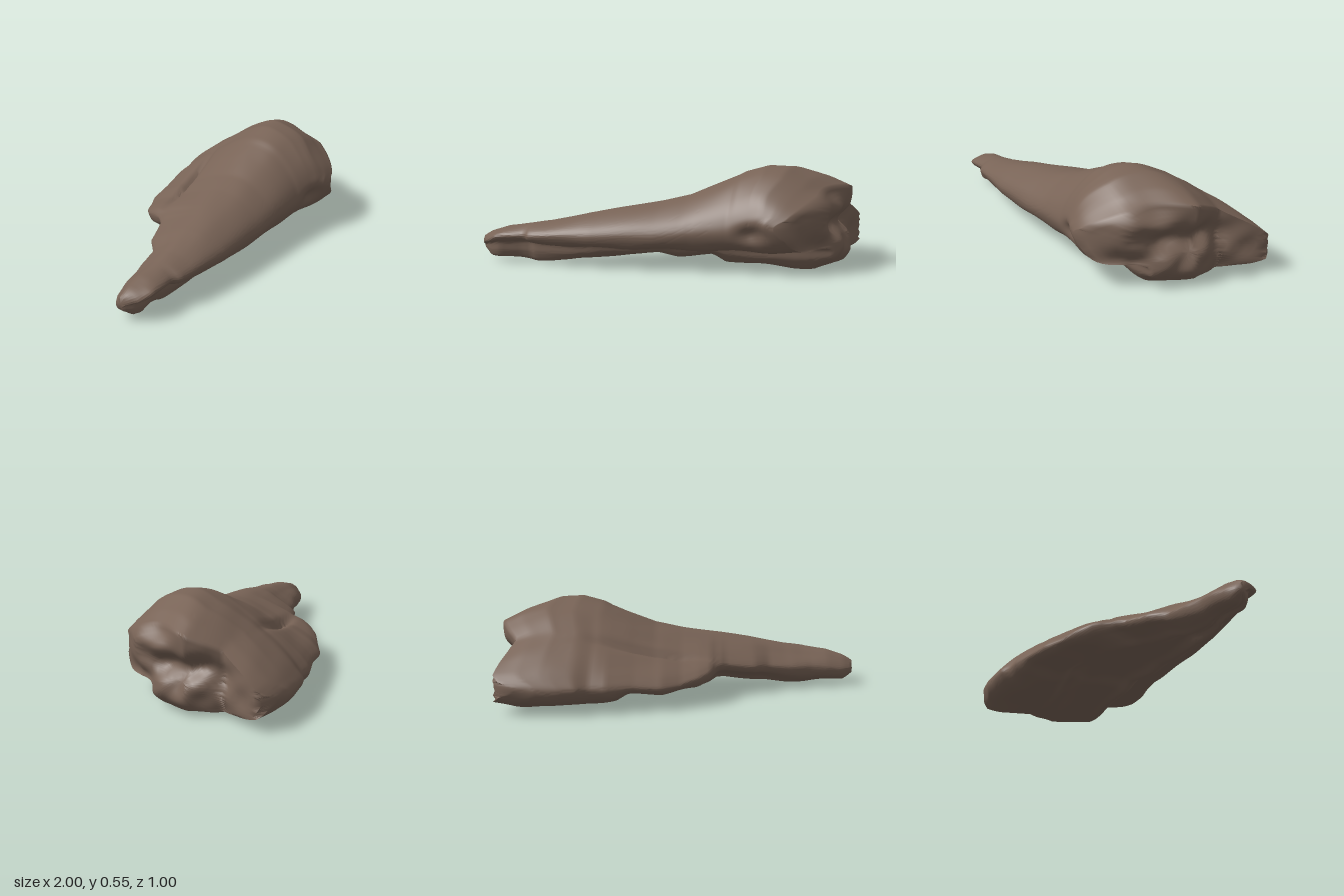
import * as THREE from 'three';
import { toCreasedNormals } from 'three/addons/utils/BufferGeometryUtils.js';

// Piecewise-linear curve through [position, value] pairs
const curve = (pairs) => (t) => {
  if (t <= pairs[0][0]) return pairs[0][1];
  for (let i = 1; i < pairs.length; i++) {
    const [a, va] = pairs[i - 1], [b, vb] = pairs[i];
    if (t <= b) return va + (vb - va) * (t - a) / (b - a);
  }
  return pairs[pairs.length - 1][1];
};
const { lerp: mix, smoothstep } = THREE.MathUtils;
const bump = (t, centre, width) => Math.exp(-(((t - centre) / width) ** 2));

// Outline of the skull along its length (x)
const backEdge = curve([[-1, 0.30], [-0.95, 0.265], [-0.85, 0.23], [-0.75, 0.21], [-0.65, 0.17], [-0.5, 0.13],
  [-0.42, 0.05], [-0.25, -0.02], [-0.2, -0.08], [-0.16, -0.18], [-0.1, -0.24], [0, -0.3], [0.1, -0.36],
  [0.25, -0.39], [0.4, -0.44], [0.5, -0.445], [0.57, -0.48], [0.7, -0.495], [0.87, -0.505], [1, -0.495]]);
const frontEdge = curve([[-1, 0.365], [-0.96, 0.42], [-0.9, 0.455], [-0.73, 0.445], [-0.7, 0.475], [-0.35, 0.49],
  [0, 0.475], [0.2, 0.46], [0.4, 0.458], [0.6, 0.47], [0.85, 0.495], [1, 0.5]]);
const topHeight = curve([[-1, 0.135], [-0.95, 0.165], [-0.85, 0.2], [-0.6, 0.235], [-0.4, 0.28], [0, 0.35],
  [0.15, 0.385], [0.3, 0.45], [0.45, 0.515], [0.6, 0.548], [0.75, 0.545], [0.9, 0.495], [1, 0.445]]);
const bottomHeight = curve([[-1, 0.07], [-0.95, 0.03], [-0.8, 0.02], [-0.7, 0.01], [-0.5, 0.02], [-0.3, 0.05],
  [0, 0.08], [0.1, 0.06], [0.28, 0.07], [0.35, 0.03], [0.5, 0.02], [0.9, 0.003], [1, 0.03]]);
const crestLine = curve([[-1, 0.33], [-0.7, 0.34], [-0.3, 0.27], [0, 0.2], [0.3, 0.13], [0.7, 0.1], [1, 0.03]]);
const wingHeight = curve([[-1, 0.1], [-0.5, 0.14], [-0.22, 0.19], [-0.13, 0.165], [0, 0.13], [0.5, 0.135], [1, 0.15]]);
const cheekHeight = curve([[-1, 0.1], [-0.9, 0.15], [-0.7, 0.16], [0, 0.18], [0.4, 0.21], [0.7, 0.26], [1, 0.26]]);
const foldHeight = curve([[-1, 0.085], [-0.9, 0.12], [-0.75, 0.12], [-0.65, 0.11], [0.4, 0.115], [1, 0.125]]);
const undercut = curve([[-1, 0.03], [-0.7, 0.1], [-0.1, 0.09], [0.3, 0.17], [0.5, 0.21], [0.8, 0.25], [1, 0.29]]);
const grooveDepth = curve([[-1, 0.01], [-0.7, 0.02], [-0.4, 0.05], [0.2, 0.04], [0.5, 0.02], [0.8, 0]]);
const wingLift = curve([[-0.95, 0.1], [-0.6, 0.3], [-0.45, 0.6], [-0.2, 0.6], [-0.08, 0.05]]);

// Rear end of the skull: x reached at each width and height
const rearByWidth = curve([[-0.5, 0.88], [-0.47, 0.97], [-0.44, 1], [-0.35, 0.97], [-0.25, 0.93], [-0.2, 0.905],
  [-0.12, 0.955], [-0.03, 1], [0.16, 0.955], [0.3, 0.92], [0.37, 0.85], [0.48, 0.72], [0.5, 0.66]]);
const rearX = (z, y) => rearByWidth(z)
  - 0.09 * bump(y, 0.25, 0.06) * bump(z, 0.03, 0.2)
  - 0.06 * bump(y, 0, 0.06) * bump(z, 0.1, 0.3)
  - 0.07 * bump(y, 0.15, 0.06) * bump(z, 0.29, 0.09)
  - 0.07 * smoothstep(y, 0.33, 0.45) * smoothstep(z, -0.05, 0.2);

// Cross-section: crest, cheek, undercut, palate, wing and back to the crest
function sectionAt(x) {
  const zb = backEdge(x), zf = frontEdge(x), yt = topHeight(x), y0 = bottomHeight(x);
  const zp = crestLine(x), yw = wingHeight(x), yc = cheekHeight(x), yf = foldHeight(x);
  const w = zf - zb, zi = zf - Math.min(undercut(x), 0.35 * w), foot = Math.min(0.06, 0.12 * w);
  const lift = wingLift(x), groove = Math.min(grooveDepth(x), (yf - y0) * 0.6);
  const front = (t, h) => [mix(zp, zf, t), mix(yc, yt, h)];
  const back = (t, h) => [mix(zp, zb, t), mix(yw, yt, h)];
  const under = (t, h) => [mix(zf, zb, t), mix(y0, yw, h)];
  const points = [
    [zp, yt], front(0.4, 0.93), front(0.75, 0.62), front(0.94, 0.3), [zf, yc],
    [mix(zf, zi, 0.25), yf + 0.01], [zi, yf],
    [zi - foot * 0.3, mix(y0, yf, 0.4)], [zi - foot, y0], [zi - foot * 2, y0 + groove],
    under(0.67, 0.3 * lift), under(0.78, 0.03 + 0.7 * lift),
    under(0.89, 0.18 + 0.75 * lift), under(0.97, 0.5 + 0.4 * lift), [zb, yw],
    back(0.93, 0.17), back(0.75, 0.4), back(0.5, 0.64), back(0.25, 0.87),
  ].map(([z, y]) => new THREE.Vector3(x, y, z));
  return new THREE.CatmullRomCurve3(points, true, 'centripetal');
}

// Weathered surface: slit on the upper wing, groove beneath it, cheek dent and lumps
function weather(p) {
  const slit = bump(p.z, -0.09 - 0.2 * (p.x + 0.07), 0.025) * bump(p.x, 0.18, 0.25);
  const groove = bump(p.z, -0.11, 0.05) * bump(p.x, 0.4, 0.32);
  p.y += 0.045 * groove * (1 - smoothstep(p.y, 0.1, 0.16)) - 0.045 * slit * smoothstep(p.y, 0.17, 0.22);
  p.z -= 0.03 * bump(p.x, 0.53, 0.07) * bump(p.y, 0.22, 0.04) * smoothstep(p.z, 0.25, 0.4);
  const lump = Math.sin(p.x * 17 + p.z * 9) * Math.sin(p.z * 21 + p.y * 13 + 1);
  p.y = Math.max(0, p.y + 0.006 * lump * mix(1, 0.3, smoothstep(p.y, 0.12, 0.2)));
}

function skullGeometry() {
  const SECTIONS = 110, AROUND = 152, CAP = 14, X0 = 0.4;
  const rings = [];
  for (let i = 0; i <= SECTIONS; i++) {
    const x = -1 + 2 * i / SECTIONS;
    const section = sectionAt(x);
    const ring = [];
    for (let j = 0; j < AROUND; j++) {
      const p = section.getPoint(j / AROUND);
      if (x > X0) p.x = X0 + (x - X0) * (rearX(p.z, p.y) - X0) / (1 - X0);
      weather(p);
      ring.push(p);
    }
    rings.push(ring);
  }
  // Close the snout tip
  const tip = new THREE.Vector3();
  rings[0].forEach((p) => tip.addScaledVector(p, 1 / AROUND));
  rings.unshift(rings[0].map(() => tip.clone()));
  // Close the rear with a hollowed, lumpy face
  const rim = rings[rings.length - 1];
  for (let k = 1; k <= CAP; k++) {
    const s = 1 - k / CAP;
    rings.push(rim.map((p) => {
      const z = mix(0, p.z, s), y = mix(0.18, p.y, s);
      const lump = 0.018 * Math.sin(z * 26 + 1) * Math.sin(y * 30 + z * 8) * (1 - s * s);
      return new THREE.Vector3(Math.min(1, rearX(z, y) + lump), y, z);
    }));
  }
  const positions = rings.flat().flatMap((p) => [p.x, p.y, p.z]);
  const index = [];
  for (let i = 0; i < rings.length - 1; i++) {
    for (let j = 0; j < AROUND; j++) {
      const a = i * AROUND + j, b = i * AROUND + (j + 1) % AROUND;
      const c = a + AROUND, d = b + AROUND;
      if (i > 0) index.push(a, b, c);
      if (i < rings.length - 2) index.push(b, d, c);
    }
  }
  const geometry = new THREE.BufferGeometry();
  geometry.setAttribute('position', new THREE.Float32BufferAttribute(positions, 3));
  geometry.setIndex(index);
  return toCreasedNormals(geometry, 1.1);
}

export function createModel() {
  const bone = new THREE.MeshStandardMaterial({ color: 0x786356 });
  bone.name = 'fossil bone';
  const skull = new THREE.Mesh(skullGeometry(), bone);
  skull.name = 'skull';
  const group = new THREE.Group();
  group.name = 'fossilSkull';
  group.add(skull);
  return group;
}
